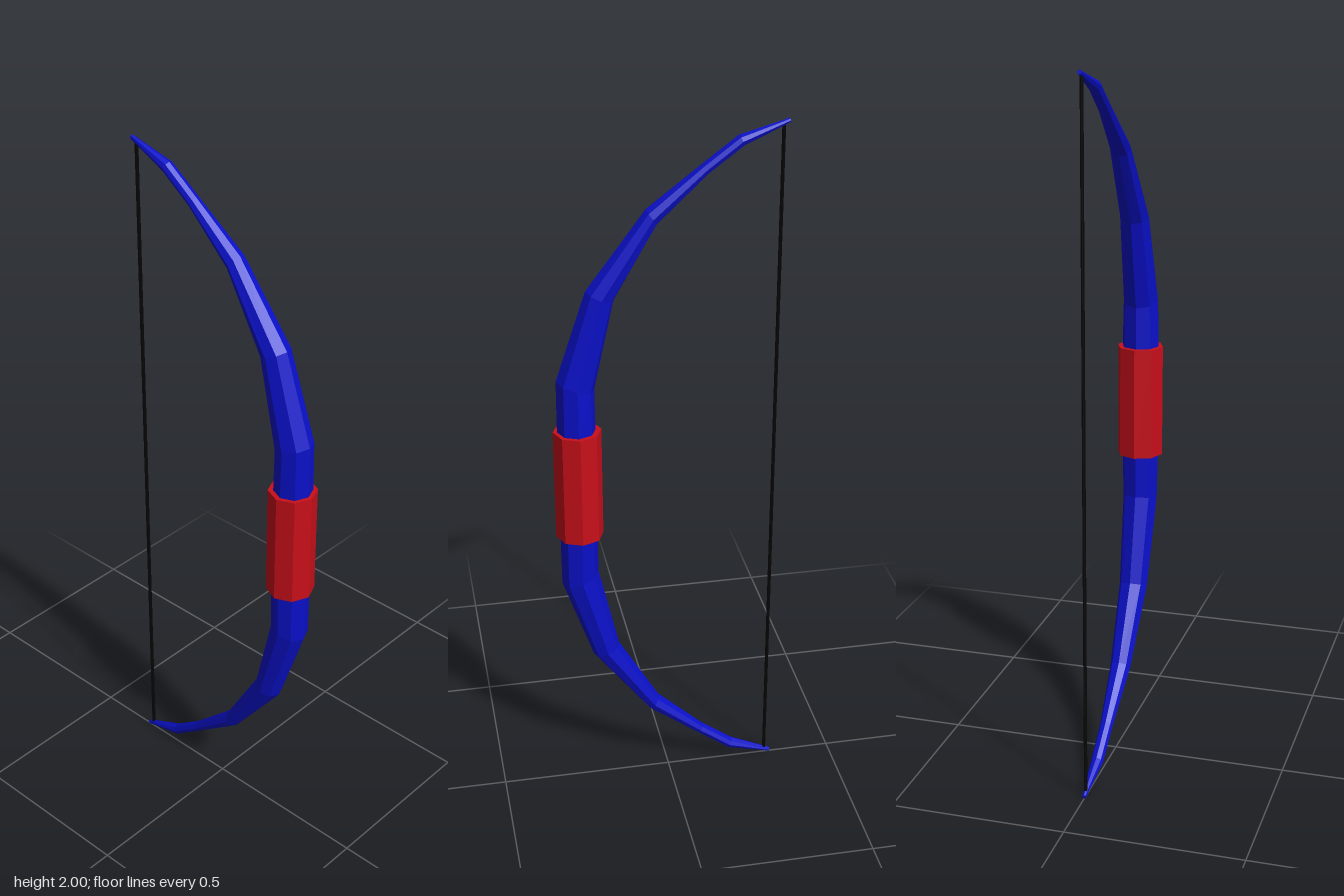
import * as THREE from 'three';

const SIDES = 8;
const paint = (color, side = THREE.FrontSide) =>
  new THREE.MeshStandardMaterial({ color, flatShading: true, side });

// Upper limb rings from grip to tip: outer z, y, inner z, y, half width
const RINGS = [
  [0.307, 1.315, 0.203, 1.285, 0.051],
  [0.222, 1.567, 0.147, 1.537, 0.042],
  [0.060, 1.780, 0.030, 1.740, 0.030],
  [-0.090, 1.894, -0.105, 1.866, 0.019],
  [-0.183, 1.963, -0.197, 1.934, 0.018],
  [-0.315, 2.000, -0.318, 1.988, 0.006],
];

// Skins octagonal rings into one closed tapering body
function loftRings(rings) {
  const pos = [], index = [];
  for (const [zo, yo, zi, yi, rx] of rings) {
    for (let i = 0; i < SIDES; i++) {
      const a = (i / SIDES) * Math.PI * 2, c = Math.cos(a) / 2;
      pos.push(rx * Math.sin(a), (yo + yi) / 2 + c * (yo - yi), (zo + zi) / 2 + c * (zo - zi));
    }
  }
  for (let r = 0; r < rings.length - 1; r++) {
    for (let i = 0; i < SIDES; i++) {
      const j = (i + 1) % SIDES, a = r * SIDES, b = a + SIDES;
      index.push(a + i, a + j, b + j, a + i, b + j, b + i);
    }
  }
  // End caps
  const last = (rings.length - 1) * SIDES;
  for (let i = 1; i < SIDES - 1; i++) {
    index.push(0, i + 1, i, last, last + i, last + i + 1);
  }
  const geo = new THREE.BufferGeometry();
  geo.setAttribute('position', new THREE.Float32BufferAttribute(pos, 3));
  geo.setIndex(index);
  const flat = geo.toNonIndexed();
  flat.computeVertexNormals();
  return flat;
}

export function createModel() {
  const group = new THREE.Group();
  const add = (name, geometry, material, y, z) => {
    const mesh = new THREE.Mesh(geometry, material);
    mesh.name = name;
    mesh.position.set(0, y, z);
    group.add(mesh);
  };

  // Curved bow body: the lower limb mirrors the upper one about y = 1
  const lower = RINGS.map(([zo, yo, zi, yi, rx]) => [zo, 2 - yo, zi, 2 - yi, rx]).reverse();
  const middle = [0.84, 1.165].map((y) => [0.308, y, 0.202, y, 0.054]);
  add('bowLimbs', loftRings([...lower, ...middle, ...RINGS]), paint(0x0a10c8), 0, 0);

  // Octagonal grip
  add('grip', new THREE.CylinderGeometry(0.067, 0.067, 0.325, SIDES), paint(0xc80f1a), 1.002, 0.253);

  // Bowstring between the tips
  add('bowstring', new THREE.CylinderGeometry(0.005, 0.005, 1.98, SIDES), paint(0x050505), 1, -0.3);

  return group;
}
